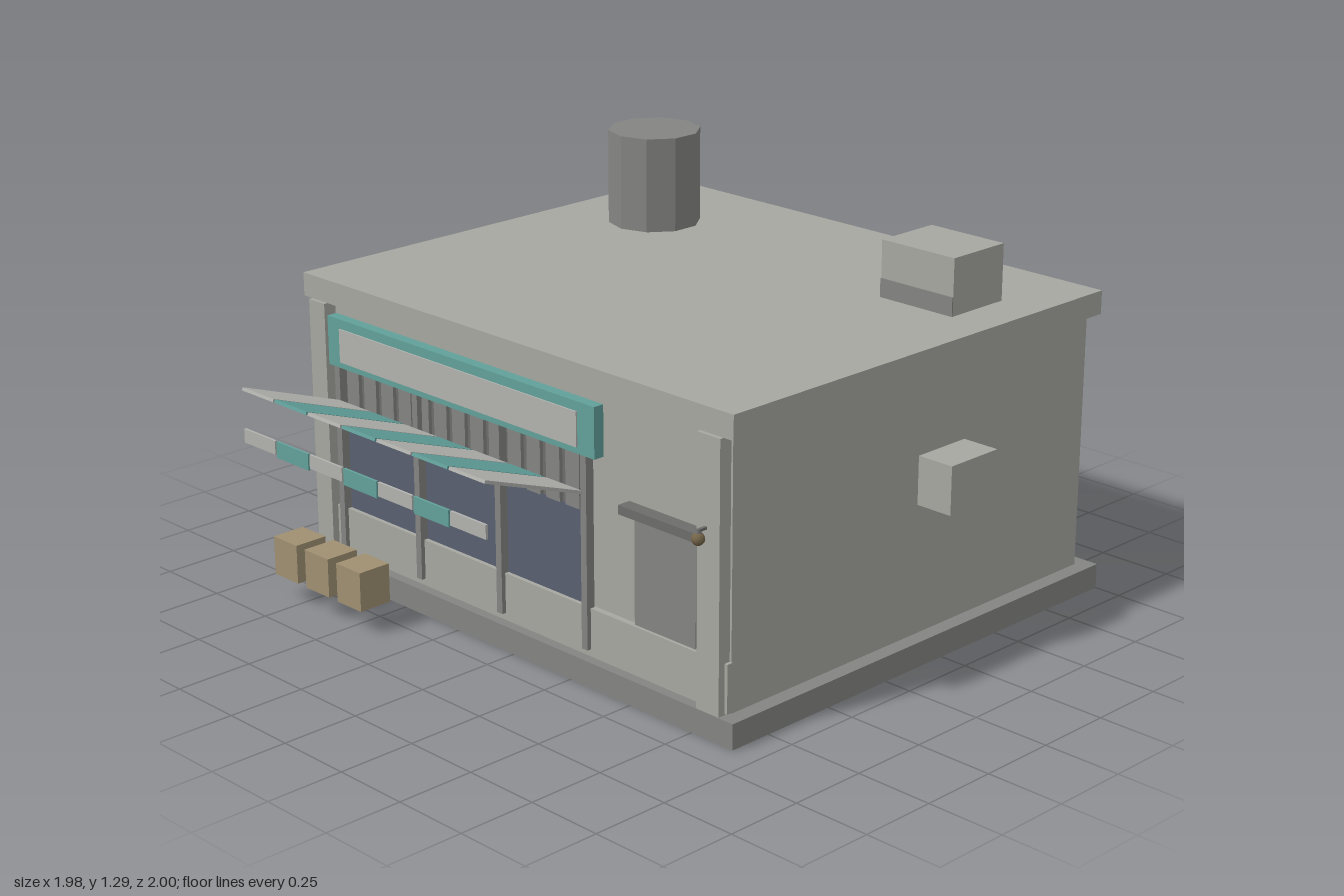
import * as THREE from 'three';

const mat = (name, color) => {
  const m = new THREE.MeshStandardMaterial({ color });
  m.name = name;
  return m;
};

export function createModel() {
  const wall = mat('wall grey', 0xa5a79f);
  const stone = mat('stone grey', 0x848582);
  const dark = mat('dark grey', 0x6c6d6a);
  const pale = mat('pale grey', 0xb2b3af);
  const teal = mat('teal', 0x62a09a);
  const glass = mat('window blue', 0x5a6070);
  const crateTan = mat('crate tan', 0x9f9072);
  const brass = mat('brass', 0x75664a);

  const model = new THREE.Group();
  model.name = 'shop';

  const add = (name, geometry, material, x, y, z, parent = model) => {
    const mesh = new THREE.Mesh(geometry, material);
    mesh.name = name;
    mesh.position.set(x, y, z);
    parent.add(mesh);
    return mesh;
  };
  // Box given by its extents on each axis
  const box = (name, material, [x0, x1], [y0, y1], [z0, z1], parent = model) =>
    add(name, new THREE.BoxGeometry(x1 - x0, y1 - y0, z1 - z0), material,
      (x0 + x1) / 2, (y0 + y1) / 2, (z0 + z1) / 2, parent);
  const group = (name) => {
    const g = new THREE.Group();
    g.name = name;
    model.add(g);
    return g;
  };

  // Building shell
  box('foundation', stone, [-0.99, 0.91], [0, 0.08], [-1, 0.645]);
  box('walls', wall, [-0.94, 0.86], [0.08, 0.905], [-0.95, 0.6]);
  box('roofSlab', wall, [-0.97, 0.89], [0.905, 0.98], [-0.98, 0.63]);
  box('rightPillar', wall, [-0.93, -0.855], [0.08, 0.905], [0.59, 0.643]);
  box('leftPillar', wall, [0.765, 0.853], [0.08, 0.905], [0.59, 0.643]);
  box('plinth', wall, [-0.945, 0.864], [0.085, 0.237], [0.598, 0.62]);

  // Roof and side equipment
  add('chimney', new THREE.CylinderGeometry(0.152, 0.152, 0.31, 10).toNonIndexed(),
    stone, -0.632, 1.135, -0.565).geometry.computeVertexNormals();
  box('roofUnit', wall, [0.46, 0.742], [0.98, 1.16], [-0.68, -0.452]);
  box('roofUnitGrille', stone, [0.46, 0.742], [0.98, 1.04], [-0.452, -0.448]);
  box('sideVent', wall, [0.85, 0.985], [0.492, 0.645], [-0.382, -0.177]);

  // Sign board: teal frame around a pale panel
  const sign = group('sign');
  box('signFrame', teal, [-0.85, 0.35], [0.71, 0.868], [0.595, 0.636], sign);
  box('signPanel', pale, [-0.79, 0.28], [0.73, 0.838], [0.636, 0.641], sign);

  // Shop window with slatted shutter above
  const shopWindow = group('shopWindow');
  box('glass', glass, [-0.81, 0.296], [0.237, 0.53], [0.598, 0.606], shopWindow);
  box('shutterBacking', dark, [-0.81, 0.296], [0.53, 0.71], [0.598, 0.604], shopWindow);
  for (let i = 0; i < 13; i++) {
    const x = -0.79 + i * 0.083;
    box('shutterSlat', stone, [x, x + 0.058], [0.53, 0.71], [0.6, 0.616], shopWindow);
  }
  for (const x of [-0.815, -0.444, -0.072, 0.3])
    box('windowPost', stone, [x - 0.012, x + 0.012], [0.108, 0.712], [0.605, 0.634], shopWindow);

  // Striped awning rising outward, with hanging valance flaps
  const awning = group('awning');
  const slope = Math.atan2(0.13, 0.365);
  for (let i = 0; i < 7; i++) {
    const x = -0.734 + i * 0.159;
    const isTeal = i % 2 === 1;
    const stripe = isTeal ? teal : pale;
    add('awningStripe', new THREE.BoxGeometry(0.152, 0.01, 0.387), stripe,
      x, 0.661, 0.817, awning).rotation.x = -slope;
    box('valanceFlap', stripe, [x - 0.076, x + 0.076],
      [isTeal ? 0.546 : 0.554, 0.598], [0.992, 1], awning);
  }

  // Door with its hood
  const door = group('door');
  box('doorPanel', stone, [0.485, 0.73], [0.081, 0.578], [0.598, 0.61], door);
  box('doorHood', dark, [0.455, 0.765], [0.577, 0.605], [0.598, 0.645], door);

  // Wall lamp on the left pillar
  const lamp = group('wallLamp');
  add('lampBulb', new THREE.SphereGeometry(0.02, 10, 8), brass, 0.8, 0.61, 0.673, lamp);
  box('lampArm', dark, [0.795, 0.805], [0.63, 0.638], [0.64, 0.678], lamp);
  add('lampCap', new THREE.CylinderGeometry(0.006, 0.012, 0.014, 8), dark, 0.8, 0.63, 0.673, lamp);

  // Row of crates in front of the window
  for (let i = 0; i < 3; i++) {
    const x = -0.842 + i * 0.154;
    box('crate', crateTan, [x, x + 0.113], [0.08, 0.206], [0.772, 0.885]);
  }

  return model;
}
